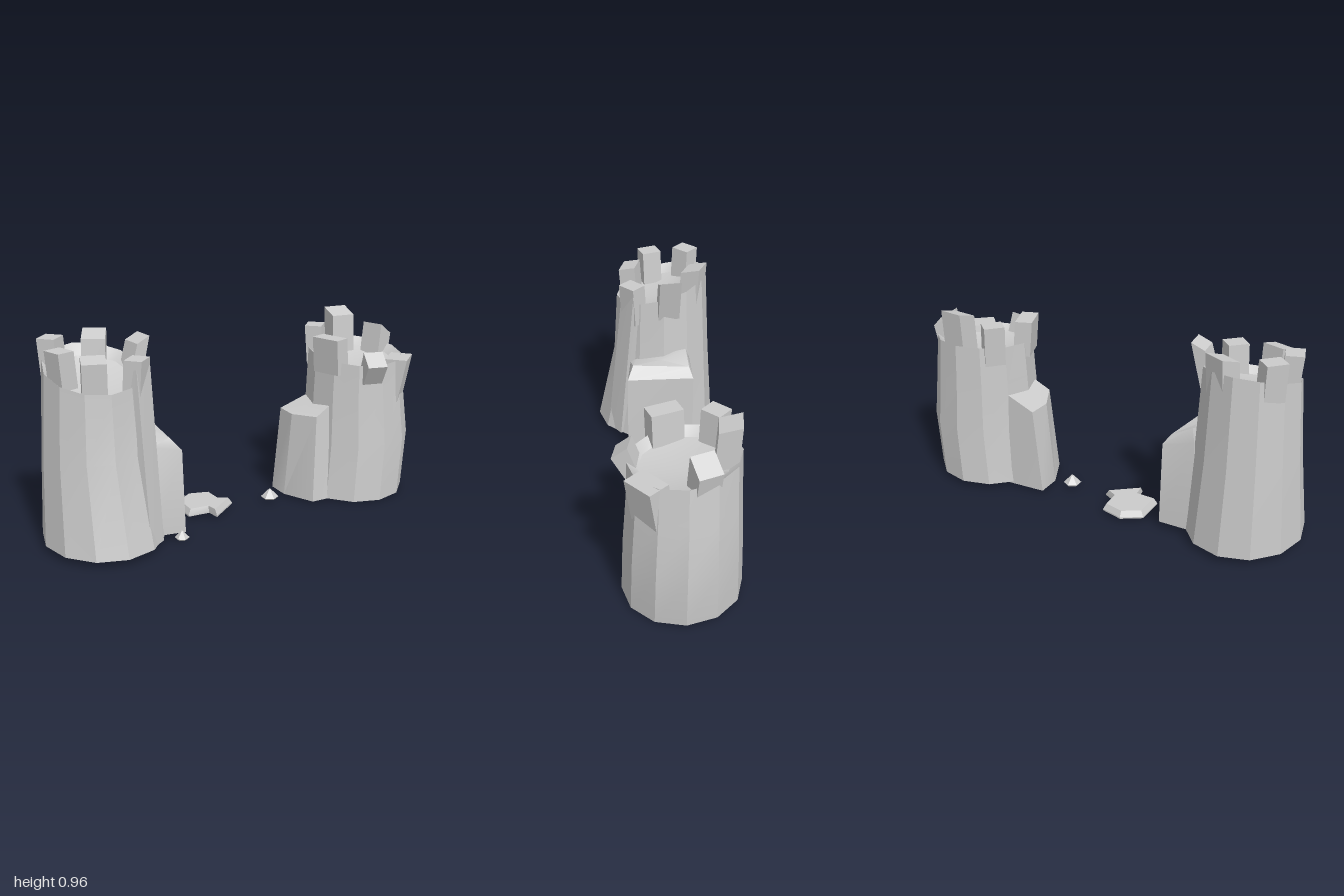
import * as THREE from 'three';
import { toCreasedNormals } from 'three/addons/utils/BufferGeometryUtils.js';

const grey = new THREE.MeshStandardMaterial({ color: 0xcccccc });

function addMesh(parent, name, geometry, crease = 0.45) {
  const mesh = new THREE.Mesh(toCreasedNormals(geometry, crease), grey);
  mesh.name = name;
  parent.add(mesh);
  return mesh;
}

// Skins a stack of closed rings (each an array of [x, y, z], running from +z towards +x).
function loft(rings) {
  const n = rings[0].length, index = [];
  for (let r = 0; r < rings.length - 1; r++) {
    for (let i = 0; i < n; i++) {
      const j = (i + 1) % n, a = r * n + i, b = r * n + j;
      if (r > 0) index.push(a, b, b + n);
      if (r === 0 || r < rings.length - 2) index.push(a, b + n, a + n);
    }
  }
  const geometry = new THREE.BufferGeometry();
  geometry.setAttribute('position', new THREE.Float32BufferAttribute(rings.flat(2), 3));
  geometry.setIndex(index);
  return geometry;
}

// A ring shrunk to its middle, used to close a loft.
function centre(ring, dy = 0) {
  const mid = [0, 1, 2].map(k => ring.reduce((s, p) => s + p[k], 0) / ring.length);
  mid[1] += dy;
  return ring.map(() => mid);
}

// Twelve-sided ring, tilted along z.
function oval(cx, y, cz, rx, rz, tilt = 0) {
  return Array.from({ length: 12 }, (_, i) => {
    const a = i * Math.PI / 6, dz = rz * Math.cos(a);
    return [cx + rx * Math.sin(a), y + tilt * dz, cz + dz];
  });
}

// Closed block from lower and upper outlines.
const block = (...rings) => loft([centre(rings[0]), ...rings, centre(rings[rings.length - 1])]);

// Merlon: box facing away from the tower axis, its foot sunk into the wall and its top sloping.
function addMerlon(tower, [ax, az], m) {
  const { x, z, y0, y1, w = 0.1, d = 0.085, lean = 0, slope = 0, foot = 0.015 } = m;
  const h = y1 - y0;
  const g = new THREE.BoxGeometry(w, h, d);
  const p = g.attributes.position;
  for (let i = 0; i < p.count; i++) {
    const top = p.getY(i) > 0;
    if (top) p.setY(i, h / 2 + (p.getZ(i) > 0 ? slope : 0));
    p.setZ(i, p.getZ(i) + (top ? lean : -foot));
  }
  const mesh = addMesh(tower, 'merlon', g);
  mesh.position.set(x, (y0 + y1) / 2, z);
  mesh.rotation.y = Math.atan2(x - ax, z - az);
}

function makeTower(name, rings, axis, merlons) {
  const tower = new THREE.Group();
  tower.name = name;
  const floor = rings[rings.length - 1];
  addMesh(tower, 'towerWall', loft([centre(rings[0]), ...rings, centre(floor, -0.04)]));
  merlons.forEach(m => addMerlon(tower, axis, m));
  return tower;
}

function addPebble(parent, x, z, y, r, h) {
  const ring = (s, yy) => Array.from({ length: 6 }, (_, i) => {
    const a = i * Math.PI / 3;
    return [x + r * s * Math.sin(a), yy, z + r * s * Math.cos(a)];
  });
  addMesh(parent, 'pebble', block(ring(0.8, y), ring(1, y + h * 0.2), ring(0.15, y + h)));
}

export function createModel() {
  const model = new THREE.Group();
  model.name = 'ruinedTowers';

  // Taller tower with its rim sloping down to the front
  const tall = makeTower('tallTower', [
    oval(-0.72, 0.03, 0, 0.28, 0.315),
    oval(-0.73, 0.45, -0.035, 0.245, 0.255),
    oval(-0.73, 0.83, -0.035, 0.22, 0.235, -0.28),
    oval(-0.73, 0.79, -0.035, 0.18, 0.19, -0.28),
  ], [-0.73, -0.035], [
    { x: -0.87, z: -0.17, y0: 0.76, y1: 0.96 },
    { x: -0.65, z: -0.2, y0: 0.74, y1: 0.93, w: 0.11, d: 0.1, slope: 0.03 },
    { x: -0.895, z: 0.02, y0: 0.77, y1: 0.94 },
    { x: -0.78, z: 0.13, y0: 0.71, y1: 0.92, w: 0.11, slope: -0.02 },
    { x: -0.575, z: 0.125, y0: 0.68, y1: 0.89, w: 0.1 },
    { x: -0.53, z: -0.06, y0: 0.72, y1: 0.92, w: 0.11, d: 0.065, lean: 0.04, slope: 0.03 },
  ]);
  // Front rib running up to its merlon
  addMesh(tall, 'wallRib', block(
    [[-0.59, 0.03, 0.265], [-0.5, 0.03, 0.2], [-0.57, 0.03, 0.1], [-0.65, 0.03, 0.15]],
    [[-0.6, 0.85, 0.175], [-0.51, 0.85, 0.12], [-0.55, 0.85, 0.08], [-0.63, 0.85, 0.13]]));
  // Broken stub of wall beside the tall tower
  addMesh(tall, 'brokenWall', block(
    [[-0.53, 0.03, 0.14], [-0.37, 0.03, 0.165], [-0.355, 0.03, -0.18], [-0.56, 0.03, -0.18]],
    [[-0.52, 0.47, 0.14], [-0.38, 0.44, 0.16], [-0.365, 0.45, -0.18], [-0.52, 0.49, -0.17]],
    [[-0.53, 0.48, 0.11], [-0.43, 0.5, 0.13], [-0.4, 0.5, -0.16], [-0.5, 0.55, -0.15]]));
  model.add(tall);

  // Shorter tower, slightly bulging, on a tilted base
  const short = makeTower('shortTower', [
    oval(0.7, 0.015, -0.04, 0.27, 0.275, -0.036),
    oval(0.725, 0.3, -0.04, 0.272, 0.265),
    oval(0.715, 0.56, -0.045, 0.25, 0.25),
    oval(0.71, 0.735, -0.045, 0.235, 0.245, -0.1),
    oval(0.71, 0.7, -0.045, 0.19, 0.2, -0.1),
  ], [0.71, -0.045], [
    { x: 0.555, z: -0.19, y0: 0.66, y1: 0.86 },
    { x: 0.73, z: -0.23, y0: 0.66, y1: 0.89, w: 0.12, d: 0.1, slope: 0.03 },
    { x: 0.88, z: -0.11, y0: 0.62, y1: 0.85, w: 0.11, d: 0.09, lean: 0.02, slope: -0.06 },
    { x: 0.85, z: 0.11, y0: 0.5, y1: 0.72, w: 0.15, d: 0.11, lean: 0.02, foot: 0.02 },
    { x: 0.66, z: 0.175, y0: 0.62, y1: 0.78, w: 0.1, d: 0.07, lean: 0.045, slope: -0.06 },
    { x: 0.505, z: 0.03, y0: 0.66, y1: 0.84, w: 0.15 },
  ]);
  // Broken stub of wall beside the short tower
  addMesh(short, 'brokenWall', block(
    [[0.52, 0.01, 0.1], [0.38, 0.01, 0.1], [0.305, 0.01, -0.06], [0.305, 0.01, -0.18], [0.52, 0.01, -0.19]].reverse(),
    [[0.5, 0.5, 0.06], [0.41, 0.45, 0.07], [0.345, 0.44, -0.06], [0.35, 0.44, -0.18], [0.51, 0.5, -0.17]].reverse()));
  model.add(short);

  // Fallen slab lying between the towers
  const slab = [[-0.145, 0.05], [0, -0.065], [-0.055, -0.095], [-0.06, -0.2],
    [-0.17, -0.23], [-0.265, -0.17], [-0.265, -0.02], [-0.155, -0.015]];
  const slabRing = (y, s) => slab.map(([x, z]) => [-0.15 + (x + 0.15) * s, y, -0.1 + (z + 0.1) * s]);
  addMesh(model, 'fallenSlab', block(slabRing(0.015, 1), slabRing(0.022, 1), slabRing(0.05, 0.87)));

  // Small loose stones
  addPebble(model, 0.21, -0.045, 0.012, 0.045, 0.048);
  addPebble(model, -0.39, 0.165, 0, 0.035, 0.04);
  return model;
}
